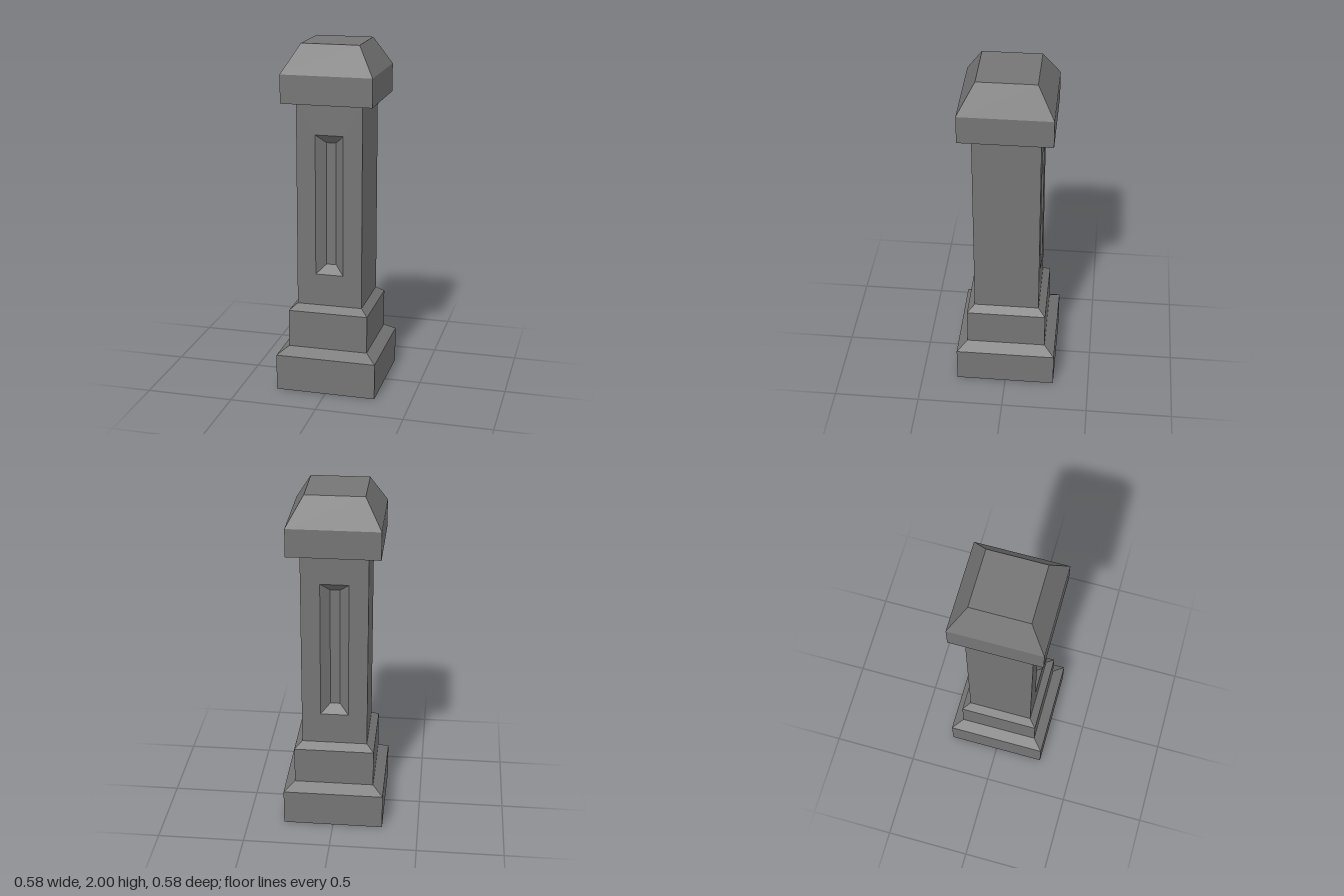
import * as THREE from 'three';

// Skin a list of four-cornered rings with flat quads, closing the last ring if asked
function loft(rings, closed) {
  const pos = [];
  const quad = (a, b, c, d) => [a, b, c, a, c, d].forEach((p) => pos.push(...p));
  for (let r = 0; r < rings.length - 1; r++) {
    for (let i = 0; i < 4; i++) {
      const j = (i + 1) % 4;
      quad(rings[r][i], rings[r][j], rings[r + 1][j], rings[r + 1][i]);
    }
  }
  if (closed) quad(...rings[rings.length - 1]);
  const geo = new THREE.BufferGeometry();
  geo.setAttribute('position', new THREE.Float32BufferAttribute(pos, 3));
  geo.computeVertexNormals();
  return geo;
}

// Horizontal square of half width w at height y
const square = (w, y) => [[-w, y, w], [w, y, w], [w, y, -w], [-w, y, -w]];
// Upright rectangle facing +z
const upright = (w, y0, y1, z) => [[-w, y0, z], [w, y0, z], [w, y1, z], [-w, y1, z]];

export function createModel() {
  const stone = new THREE.MeshStandardMaterial({ color: 0x757575, side: THREE.DoubleSide });
  stone.name = 'grey stone';
  const group = new THREE.Group();
  group.name = 'stonePost';
  const add = (name, geo) => {
    const mesh = new THREE.Mesh(geo, stone);
    mesh.name = name;
    group.add(mesh);
    return mesh;
  };

  const half = 0.188, shaftBottom = 0.505, shaftTop = 1.68;

  // Stepped plinth, hollow and open underneath
  add('plinth', loft([
    square(0.29, 0), square(0.29, 0.21),
    square(0.23, 0.253), square(0.23, 0.47),
    square(half, shaftBottom),
  ], false));

  // Shaft front and back, each with a bevelled recess
  const panel = loft([
    upright(half, shaftBottom, shaftTop, half),
    upright(0.08, 0.69, 1.5, half),
    upright(0.028, 0.74, 1.45, half - 0.045),
  ], true);
  add('shaftFront', panel);
  add('shaftBack', panel).rotation.y = Math.PI;

  // Plain shaft sides
  const sideGeo = new THREE.PlaneGeometry(half * 2, shaftTop - shaftBottom);
  for (const s of [-1, 1]) {
    const side = add(s > 0 ? 'shaftLeft' : 'shaftRight', sideGeo);
    side.position.set(s * half, (shaftTop + shaftBottom) / 2, 0);
    side.rotation.y = s * Math.PI / 2;
  }

  // Overhanging cap with sloped top
  add('cap', loft([
    square(half, shaftTop), square(0.258, shaftTop),
    square(0.258, 1.84), square(0.164, 2),
  ], true));

  return group;
}
